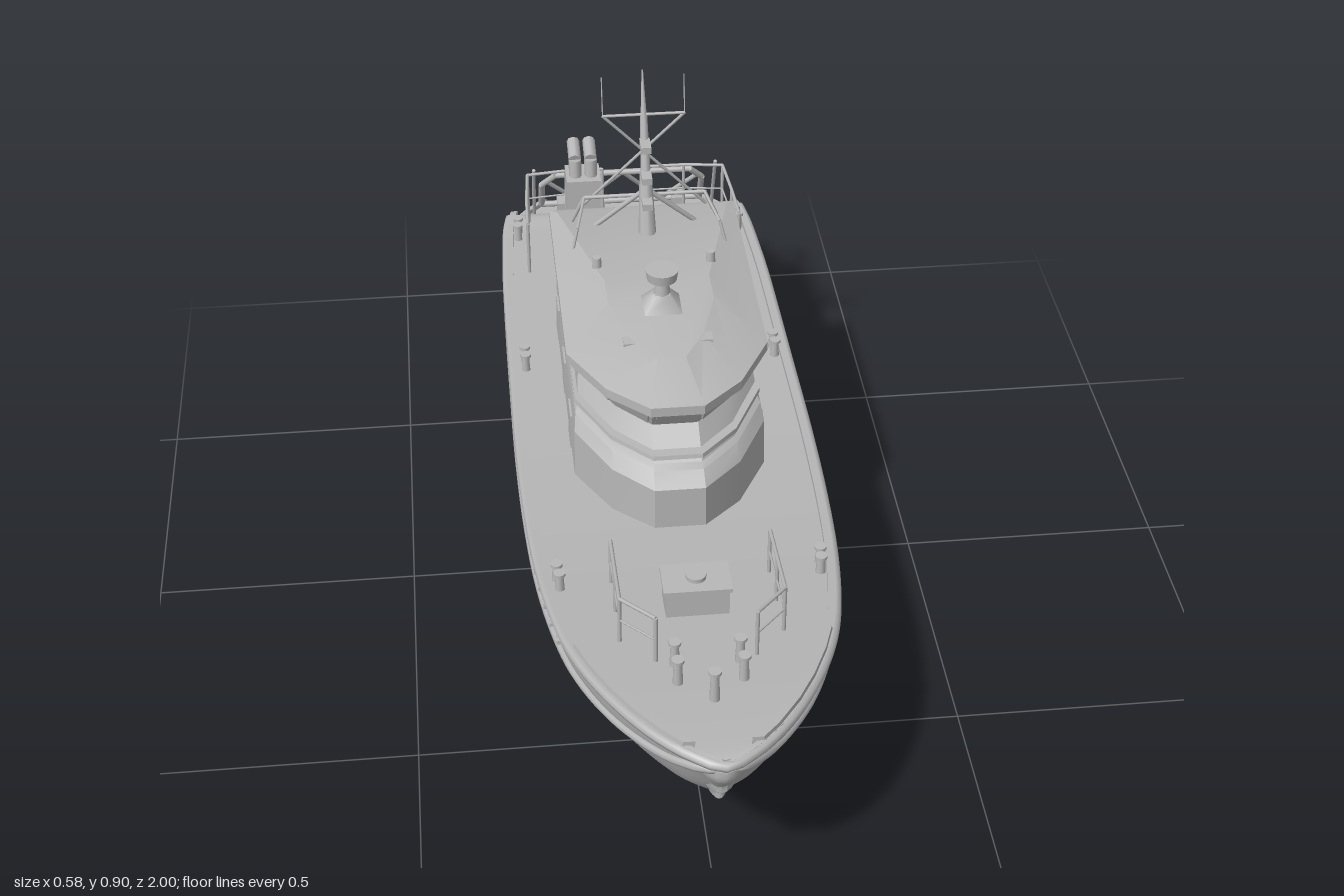
import * as THREE from 'three';
import { toCreasedNormals } from 'three/addons/utils/BufferGeometryUtils.js';

const V = (x, y, z) => new THREE.Vector3(x, y, z);
const paint = new THREE.MeshStandardMaterial({ color: 0xb8b8b8, side: THREE.DoubleSide });
paint.name = 'grey paint';

// Hull stations: z, keel y, chine x y, side x y, deck edge x y
const ROWS = [
  [0.988, 0.395, 0.004, 0.4, 0.006, 0.405, 0.01, 0.425],
  [0.96, 0.355, 0.02, 0.37, 0.045, 0.392, 0.056, 0.428],
  [0.9, 0.265, 0.05, 0.3, 0.092, 0.365, 0.112, 0.425],
  [0.8, 0.18, 0.085, 0.24, 0.155, 0.342, 0.172, 0.415],
  [0.7, 0.108, 0.125, 0.215, 0.2, 0.327, 0.213, 0.402],
  [0.6, 0.075, 0.165, 0.2, 0.23, 0.315, 0.238, 0.388],
  [0.4, 0.05, 0.215, 0.195, 0.262, 0.3, 0.264, 0.362],
  [0.1, 0.042, 0.235, 0.19, 0.278, 0.286, 0.277, 0.338],
  [-0.3, 0.032, 0.237, 0.188, 0.279, 0.28, 0.277, 0.32],
  [-0.55, 0.018, 0.235, 0.186, 0.276, 0.275, 0.275, 0.313],
  [-0.65, 0.025, 0.232, 0.185, 0.273, 0.272, 0.272, 0.31],
  [-0.67, 0.105, 0.231, 0.185, 0.272, 0.272, 0.271, 0.309],
  [-0.8, 0.16, 0.225, 0.186, 0.263, 0.262, 0.264, 0.304],
  [-0.87, 0.175, 0.21, 0.19, 0.25, 0.25, 0.252, 0.299],
  [-0.885, 0.178, 0.205, 0.19, 0.245, 0.235, 0.248, 0.25],
  [-0.94, 0.186, 0.19, 0.19, 0.225, 0.225, 0.23, 0.247],
  [-1, 0.19, 0.16, 0.192, 0.175, 0.22, 0.18, 0.245],
];
const STEPS = 80;
const line = (f) => new THREE.CatmullRomCurve3(ROWS.map(f)).getPoints(STEPS);
const keel = line((r) => V(0, r[1], r[0]));
const chine = line((r) => V(r[2], r[3], r[0]));
const side = line((r) => V(r[4], r[5], r[0]));
const edge = line((r) => V(r[6], r[7], r[0]));

// Deck edge point at a given z
function deckAt(z) {
  const i = Math.max(1, edge.findIndex((p) => p.z <= z));
  const a = edge[i - 1], b = edge[i];
  return a.clone().lerp(b, (a.z - z) / (a.z - b.z));
}

// Skin a row of closed rings, with both ends capped
function skin(rings, crease, reverse) {
  const n = rings[0].length, pos = rings.flat().flatMap((p) => [p.x, p.y, p.z]), idx = [];
  const tri = (a, b, c) => (reverse ? idx.push(a, b, c) : idx.push(a, c, b));
  for (let i = 0; i < rings.length - 1; i++) for (let j = 0; j < n; j++) {
    const a = i * n + j, b = i * n + (j + 1) % n;
    tri(a, b, a + n); tri(b, b + n, a + n);
  }
  const last = (rings.length - 1) * n;
  for (let j = 1; j < n - 1; j++) { tri(0, j + 1, j); tri(last, last + j, last + j + 1); }
  const g = new THREE.BufferGeometry();
  g.setAttribute('position', new THREE.Float32BufferAttribute(pos, 3));
  g.setIndex(idx);
  return toCreasedNormals(g, crease);
}

// House outline: half width, front z, back z
function outline([y, w, zf, zb], tilt = 0) {
  const half = [[w, zb], [w, zf - 0.19], [w * 0.66, zf - 0.07], [w * 0.26, zf]];
  return [...half, ...half.map(([x, z]) => [-x, z]).reverse()].map(([x, z]) => V(x, y + tilt * (z - 0.25), z));
}

export function createModel() {
  const root = new THREE.Group();
  const add = (name, geo, x = 0, y = 0, z = 0, parent = root) => {
    const m = new THREE.Mesh(geo, paint);
    m.name = name; m.position.set(x, y, z); parent.add(m);
    return m;
  };
  const box = (name, w, h, d, x, y, z) => add(name, new THREE.BoxGeometry(w, h, d), x, y, z);
  const cyl = (name, r1, r2, h, x, y, z, n = 16) => add(name, new THREE.CylinderGeometry(r1, r2, h, n), x, y, z);
  const pipe = (name, pts, r, rEnd = r) => {
    const g = new THREE.Group(); g.name = name; root.add(g);
    for (let i = 1; i < pts.length; i++) {
      const d = pts[i].clone().sub(pts[i - 1]);
      const m = add(name, new THREE.CylinderGeometry(rEnd, r, d.length(), 8), 0, 0, 0, g);
      m.position.copy(pts[i]).add(pts[i - 1]).multiplyScalar(0.5);
      m.quaternion.setFromUnitVectors(V(0, 1, 0), d.normalize());
    }
  };

  // Hull with deck and low rim
  const flip = (p) => V(-p.x, p.y, p.z);
  const rings = keel.map((k, i) => {
    const e = edge[i], inner = Math.max(e.x - 0.014, e.x * 0.4);
    const half = new THREE.CatmullRomCurve3([k, chine[i], side[i], e]).getPoints(15);
    half.push(V(inner, e.y, e.z), V(inner, e.y - 0.01, e.z));
    return [...half.slice(1).reverse().map(flip), ...half];
  });
  add('hull', skin(rings, 0.5, false));

  // Rubbing strakes running round the bow
  const strake = (name, pts, r) => {
    const path = new THREE.CatmullRomCurve3([...pts.map(flip).reverse(), ...pts]);
    add(name, new THREE.TubeGeometry(path, 160, r, 8));
  };
  const every = (pts, a, b) => pts.filter((p, i) => i >= a && i <= b && i % 3 === 0);
  strake('upperStrake', every(edge, 0, 65).map((p) => V(p.x, p.y - 0.01, p.z)), 0.01);
  strake('lowerStrake', every(side, 3, 70), 0.009);

  // Bow fender pad wrapped round the stem
  const pad = [];
  for (let i = 0; i <= 10; i++) {
    const y = 0.265 + i * 0.0135, w = 0.058 * Math.sqrt(Math.min(1, 0.06 + i / 10));
    const k = keel.find((p) => p.y <= y) || keel[0], zf = Math.min(0.99, k.z + 0.014);
    const ring = [];
    for (let j = 0; j <= 8; j++) {
      const s = 1 - j / 4;
      ring.push(V(w * s, y, zf - 0.075 * s * s * (w / 0.058)));
    }
    ring.push(V(-w * 0.3, y, zf - 0.09), V(w * 0.3, y, zf - 0.09));
    pad.push(ring);
  }
  add('bowFender', skin(pad, 0.7, false));

  // Deckhouse and wheelhouse tiers
  const tiers = [[0.3, 0.18, 0.31, -0.4], [0.428, 0.178, 0.308, -0.4], [0.45, 0.174, 0.28, -0.395],
    [0.456, 0.17, 0.265, -0.39], [0.506, 0.163, 0.212, -0.385], [0.565, 0.168, 0.246, -0.385]];
  const house = tiers.map((t) => outline(t));
  add('deckhouse', skin(house, 0.35, false));
  const ledge = [[0.466, 0.174, 0.268, -0.392], [0.474, 0.174, 0.266, -0.392]];
  add('houseLedge', skin(ledge.map((t) => outline(t)), 0.35, false));
  const roof = [[0.558, 0.174, 0.25, -0.43], [0.56, 0.187, 0.262, -0.44], [0.579, 0.187, 0.262, -0.44],
    [0.584, 0.172, 0.245, -0.425], [0.61, 0.1, 0.15, -0.12]];
  add('roof', skin(roof.map((t) => outline(t, 0.02)), 0.3, false));

  // Thin plates laid on the wall between two tiers
  const plate = (name, lo, hi, e, u0, u1, v0, v1) => {
    const at = (u, v) => lo[e].clone().lerp(lo[e + 1], u).lerp(hi[e].clone().lerp(hi[e + 1], u), v);
    const q = [at(u0, v0), at(u1, v0), at(u1, v1), at(u0, v1)];
    const n = q[3].clone().sub(q[0]).cross(q[1].clone().sub(q[0])).normalize();
    const r = (k) => q.map((p) => p.clone().addScaledVector(n, k));
    add(name, skin([r(-0.001), r(0.004)], 0.3, false));
  };
  for (const e of [0, 6]) {
    for (let k = 0; k < 5; k++) plate('sideWindow', house[4], house[5], e, 0.04 + k * 0.192, 0.19 + k * 0.192, 0.12, 0.85);
    for (const u of [0.12, 0.45, 0.8]) plate('sidePanel', house[0], house[1], e, u, u + 0.11, 0.35, 0.92);
  }
  for (let e = 1; e < 6; e++) plate('frontWindow', house[4], house[5], e, 0.08, 0.92, 0.12, 0.85);
  box('aftDoor', 0.07, 0.13, 0.008, 0, 0.395, -0.402);

  // Radar on its pedestal
  const base = cyl('radarPedestal', 0.02, 0.055, 0.035, 0, 0.617, -0.025, 4);
  base.geometry.rotateY(Math.PI / 4);
  cyl('radarPost', 0.012, 0.016, 0.04, 0, 0.65, -0.025);
  cyl('radarDome', 0.031, 0.028, 0.02, 0, 0.675, -0.025, 24);

  // Raked mast with yard, aerials, lamps and stays
  pipe('mastLower', [V(0, 0.57, -0.31), V(0, 0.7, -0.345)], 0.018, 0.012);
  pipe('mastMiddle', [V(0, 0.7, -0.345), V(0, 0.81, -0.378)], 0.01, 0.007);
  pipe('mastTop', [V(0, 0.81, -0.378), V(0, 0.897, -0.402)], 0.006, 0.0015);
  pipe('yard', [V(-0.08, 0.812, -0.378), V(0.08, 0.812, -0.378)], 0.003);
  for (const y of [0.65, 0.7, 0.76]) box('mastLamp', 0.02, 0.014, 0.04, 0, y, -0.335 - (y - 0.65) * 0.28 + 0.02);
  pipe('roofRail', [V(-0.145, 0.575, -0.38), V(-0.12, 0.635, -0.37), V(0.12, 0.635, -0.37), V(0.145, 0.575, -0.38)], 0.004);
  for (const s of [-1, 1]) {
    pipe('aerial', [V(0.08 * s, 0.81, -0.378), V(0.08 * s, 0.888, -0.395)], 0.0012);
    pipe('stay', [V(0.08 * s, 0.812, -0.378), V(-0.13 * s, 0.57, -0.43)], 0.003);
    pipe('mastBrace', [V(0, 0.67, -0.335), V(0.1 * s, 0.575, -0.36)], 0.005);
    pipe('roofSideRail', [V(0.12 * s, 0.635, -0.37), V(0.14 * s, 0.62, -0.28), V(0.15 * s, 0.58, -0.27)], 0.003);
    cyl('roofVent', 0.008, 0.01, 0.035, 0.11 * s, 0.6, -0.18);
    box('roofHatch', 0.025, 0.012, 0.025, 0.07 * s, 0.6, 0.085);
    // Lockers behind the house
    box('aftLocker', 0.07, 0.09, 0.07, 0.12 * s, 0.355, -0.435);
  }

  // Exhaust column
  box('exhaustTrunk', 0.07, 0.28, 0.07, -0.11, 0.44, -0.555);
  for (const s of [-1, 1]) {
    const x = -0.11 + s * 0.016;
    pipe('exhaustPipe', [V(x, 0.57, -0.545), V(x, 0.615, -0.55), V(x, 0.63, -0.6)], 0.013);
  }

  // Deck hatches and lockers
  const hatch = (w, h, d, x, z) => {
    const y = deckAt(z).y - 0.012;
    box('hatchBase', w, h, d, x, y + h / 2, z);
    box('hatchLid', w * 1.08, 0.008, d * 1.08, x, y + h, z);
    cyl('hatchWheel', 0.018, 0.018, 0.008, x, y + h + 0.008, z);
  };
  hatch(0.11, 0.06, 0.07, 0, 0.555);
  hatch(0.1, 0.025, 0.06, 0.127, -0.715);
  hatch(0.09, 0.02, 0.06, 0.127, -0.79);

  // Mooring posts, side slots and bow bulwark
  const bollard = (x, z, h = 0.035) => {
    const y = deckAt(z).y - 0.01;
    cyl('bollard', 0.007, 0.009, h, x, y + h / 2, z, 10);
    cyl('bollardCap', 0.011, 0.011, 0.006, x, y + h, z, 10);
  };
  bollard(0, 0.83, 0.06);
  for (const s of [-1, 1]) {
    for (const z of [0.48, 0.45, -0.25, -0.28, -0.76, -0.79]) bollard(s * (deckAt(z).x - 0.025), z);
    for (const z of [0.73, 0.78]) bollard(s * 0.055, z, 0.05);
    for (let z = 0.6; z > -0.75; z -= 0.055) {
      const p = deckAt(z);
      box('freeingPort', 0.006, 0.008, 0.03, s * (p.x + 0.004), p.y - 0.03, z);
    }
    const cap = [0.67, 0.73, 0.8, 0.86, 0.92, 0.95].map((z) => {
      const p = deckAt(z), x = Math.max(0.01, p.x - 0.022);
      return [V(x, p.y - 0.01, z), V(p.x, p.y - 0.01, z), V(p.x - 0.003, p.y + 0.008, z), V(x, p.y + 0.008, z)]
        .map((q) => (s < 0 ? flip(q) : q));
    });
    add('bowBulwark', skin(cap, 0.4, s > 0));
  }

  // Railings: posts under a top and middle bar
  const rail = (name, pts, h) => {
    const up = (k) => pts.map(([x, z]) => V(x, deckAt(z).y - 0.01 + k, z));
    const foot = up(0), top = up(h);
    pipe(name, top, 0.0035);
    pipe(name, up(h * 0.5), 0.002);
    foot.forEach((p, i) => pipe(name + 'Post', [p, top[i]], 0.0035));
  };
  rail('foreRail', [[-0.14, 0.47], [-0.14, 0.56], [-0.14, 0.65], [-0.085, 0.715]], 0.095);
  rail('foreRail', [[0.14, 0.47], [0.14, 0.56], [0.14, 0.65], [0.085, 0.715]], 0.095);
  for (const s of [-1, 1]) {
    rail('aftRail', [[s * 0.225, -0.62], [s * 0.222, -0.72], [s * 0.215, -0.83], [s * 0.13, -0.84], [s * 0.05, -0.84]], 0.12);
    pipe('railStay', [V(s * 0.2, 0.42, -0.84), V(s * 0.2, 0.25, -0.91)], 0.004);
  }

  // Leaning stern gate with truss bars
  const gate = (x, t) => V(x, 0.255 + t * 0.11, -0.965 + t * 0.06);
  pipe('sternGate', [gate(-0.18, 0), gate(0.18, 0), gate(0.18, 0.7), gate(0.15, 1), gate(-0.15, 1), gate(-0.18, 0.7), gate(-0.18, 0)], 0.007);
  pipe('gateTruss', [gate(-0.17, 0.8), gate(-0.09, 0), gate(0, 1), gate(0.09, 0), gate(0.17, 0.8)], 0.005);
  for (const s of [-1, 1]) box('gateHinge', 0.03, 0.03, 0.04, s * 0.13, 0.25, -0.965);

  // Propeller, shaft and rudder
  pipe('propellerShaft', [V(0, 0.085, -0.64), V(0, 0.07, -0.79)], 0.008);
  pipe('shaftStrut', [V(0, 0.18, -0.74), V(0, 0.075, -0.755)], 0.009);
  cyl('propellerHub', 0.01, 0.014, 0.04, 0, 0.07, -0.785).rotation.x = Math.PI / 2;
  for (let k = 0; k < 4; k++) {
    const blade = new THREE.SphereGeometry(1, 12, 8).scale(0.016, 0.024, 0.003).rotateY(0.6).translate(0, 0.026, 0);
    add('propellerBlade', blade, 0, 0.07, -0.78).rotation.z = k * Math.PI / 2 + 0.4;
  }
  box('rudder', 0.012, 0.105, 0.075, 0, 0.0525, -0.862);
  pipe('rudderStock', [V(0, 0.1, -0.845), V(0, 0.19, -0.845)], 0.008);
  return root;
}
